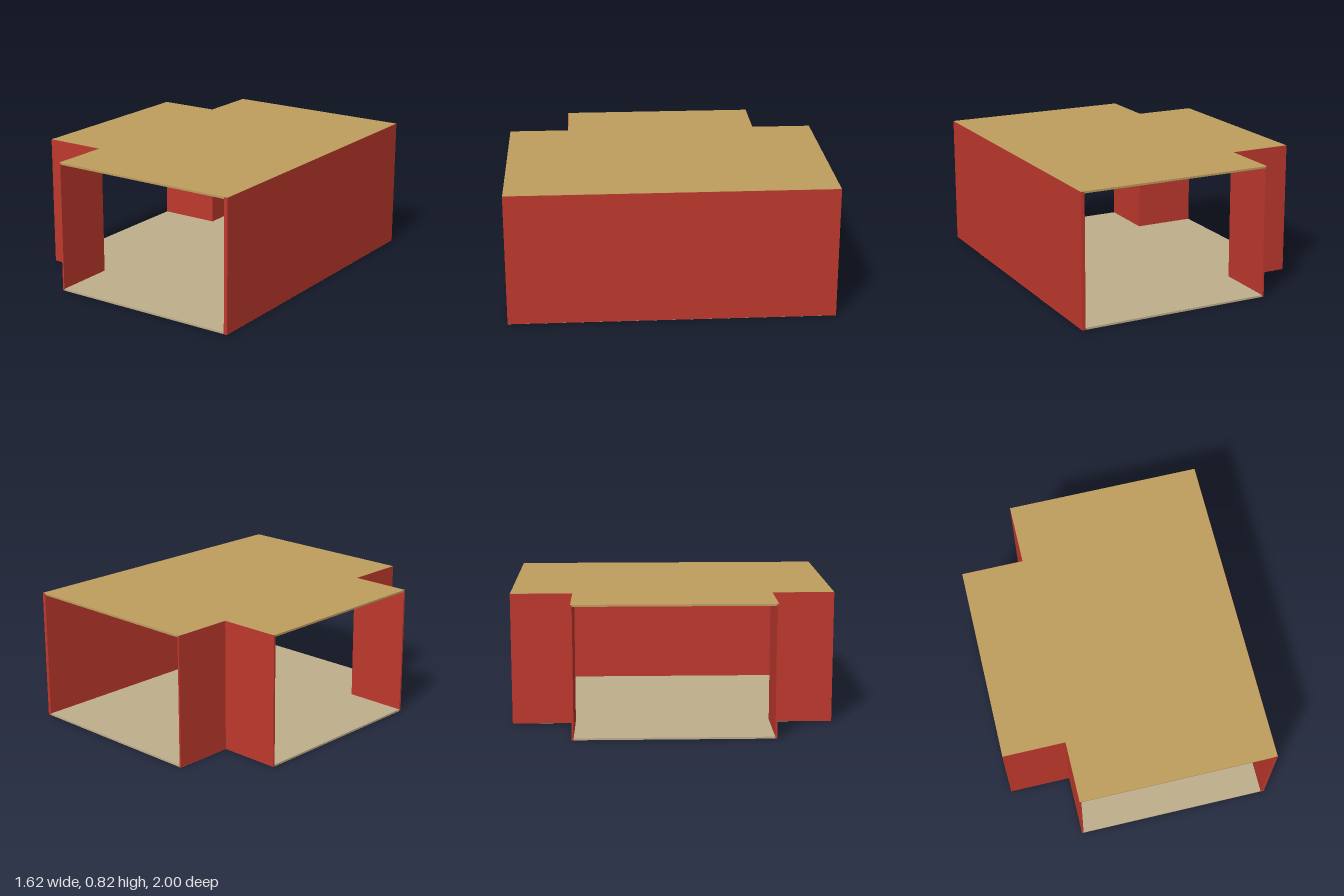
import * as THREE from 'three';

const H = 0.825;      // overall height
const SLAB = 0.012;   // floor and roof thickness
const GAP = 0.001;    // tiny inset that avoids coplanar faces

function material(name, color) {
  const m = new THREE.MeshStandardMaterial({ color });
  m.name = name;
  return m;
}

// Plan outline: a rectangle with a narrower bay on the -x side
function planShape() {
  const s = new THREE.Shape();
  const e = GAP;
  const half = [[-0.81, 0.617 - e], [-0.42 + e, 0.617 - e], [-0.42 + e, 1 - e], [0.81 - e, 1 - e]];
  const mirrored = half.map(([x, z]) => [x, -z]).reverse();
  s.setFromPoints([...half, ...mirrored].map(([x, z]) => new THREE.Vector2(x, z)));
  return s;
}

export function createModel() {
  const model = new THREE.Group();
  model.name = 'openRoom';
  const red = material('wallRed', 0xbf392d);
  const tan = material('roofTan', 0xbf9d5e);
  const beige = material('floorBeige', 0xbfae8c);

  // Floor and roof slabs share the same plan
  const slabGeometry = new THREE.ExtrudeGeometry(planShape(), { depth: SLAB, bevelEnabled: false });
  slabGeometry.rotateX(-Math.PI / 2);
  for (const [name, mat, y] of [['floor', beige, 0], ['roof', tan, H - SLAB]]) {
    const slab = new THREE.Mesh(slabGeometry, mat);
    slab.name = name;
    slab.position.y = y;
    model.add(slab);
  }

  // Upright wall panel given by its plan extents
  function wall(name, x0, x1, z0, z1) {
    const mesh = new THREE.Mesh(new THREE.BoxGeometry(x1 - x0, H - 2 * GAP, z1 - z0), red);
    mesh.name = name;
    mesh.position.set((x0 + x1) / 2, H / 2, (z0 + z1) / 2);
    model.add(mesh);
  }

  wall('longWall', 0.787, 0.81, -1, 1);

  // Stepped corner walls, front and back; the ends and the bay stay open
  wall('frontReturnWall', -0.42, -0.409, 0.606, 1);
  wall('backReturnWall', -0.42, -0.409, -1, -0.606);
  wall('frontBayWall', -0.811, -0.42, 0.606, 0.618);
  wall('backBayWall', -0.811, -0.42, -0.618, -0.606);

  return model;
}
